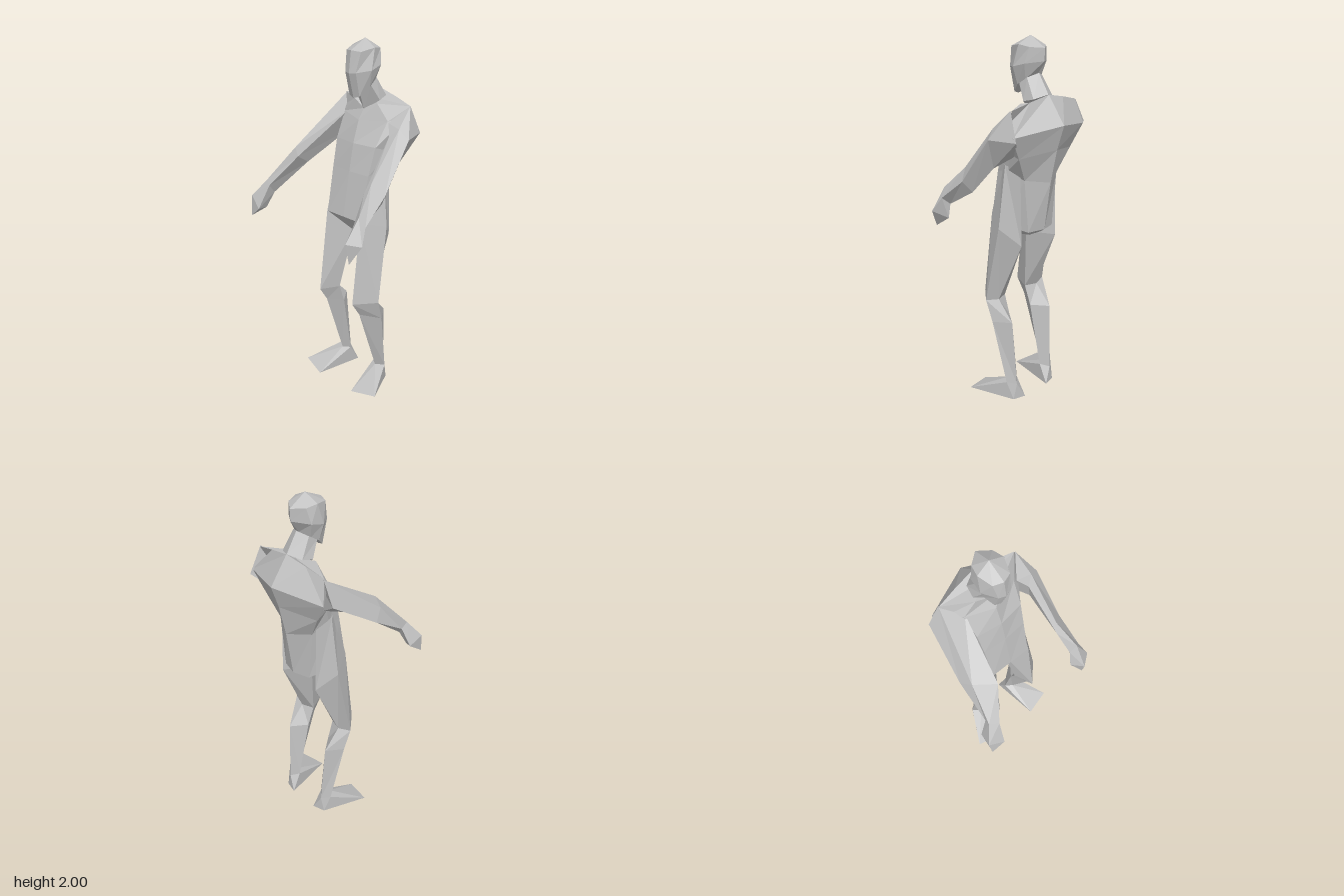
import * as THREE from 'three';

const CX = 0.02; // body centre line

// Faceted skin through cross-section rings (equal point counts), closed at both ends
function loft(rings) {
  const tris = [];
  const n = rings[0].length;
  for (let r = 0; r < rings.length - 1; r++) {
    for (let i = 0; i < n; i++) {
      const j = (i + 1) % n;
      const [a, b, c, d] = [rings[r][i], rings[r][j], rings[r + 1][j], rings[r + 1][i]];
      tris.push([a, b, c], [a, c, d]);
    }
  }
  const centre = (ring) => [0, 1, 2].map((k) => ring.reduce((s, p) => s + p[k], 0) / n);
  const first = rings[0], last = rings[rings.length - 1];
  const c0 = centre(first), c1 = centre(last);
  for (let i = 0; i < n; i++) {
    const j = (i + 1) % n;
    tris.push([first[j], first[i], c0], [last[i], last[j], c1]);
  }
  // Signed volume decides the winding, so mirrored parts stay outward-facing
  let volume = 0;
  for (const [a, b, c] of tris) {
    volume += new THREE.Vector3(...a).dot(new THREE.Vector3(...b).cross(new THREE.Vector3(...c)));
  }
  const points = tris.flatMap(([a, b, c]) => (volume < 0 ? [a, c, b] : [a, b, c])).flat();
  const geometry = new THREE.BufferGeometry();
  geometry.setAttribute('position', new THREE.Float32BufferAttribute(points, 3));
  geometry.computeVertexNormals();
  return geometry;
}

// Half ring (front centre ... back centre) completed by mirroring
const place = (side) => ([x, y, z]) => [CX + side * x, y, z];
const fullRing = (half) => [...half.map(place(1)), ...half.slice(1, -1).reverse().map(place(-1))];
const point = (p, n) => Array(n).fill(p);

// Rows: front centre, front corner, side, back corner, spine
const TORSO = [
  [[0, 0.945, -0.07], [0.025, 0.945, -0.07], [0.05, 0.96, -0.12], [0.05, 0.97, -0.18], [0, 0.99, -0.22]],
  [[0, 1.06, 0.03], [0.12, 1.06, 0.03], [0.15, 1.03, -0.08], [0.09, 1.0, -0.21], [0, 1.005, -0.24]],
  [[0, 1.31, -0.015], [0.13, 1.31, -0.025], [0.15, 1.33, -0.12], [0.12, 1.29, -0.21], [0, 1.27, -0.28]],
  [[0, 1.46, -0.045], [0.14, 1.46, -0.065], [0.165, 1.43, -0.15], [0.19, 1.42, -0.24], [0, 1.45, -0.32]],
  [[0, 1.58, -0.085], [0.155, 1.59, -0.14], [0.22, 1.6, -0.2], [0.26, 1.54, -0.265], [0, 1.58, -0.364]],
  [[0, 1.635, -0.125], [0.08, 1.67, -0.14], [0.23, 1.667, -0.23], [0.12, 1.695, -0.245], [0, 1.72, -0.258]],
];

const NECK = [
  [[0, 1.625, -0.125], [0.08, 1.685, -0.16], [0.07, 1.7, -0.22], [0, 1.72, -0.256]],
  [[0, 1.73, -0.09], [0.06, 1.77, -0.11], [0.055, 1.8, -0.16], [0, 1.82, -0.19]],
];

const HEAD = [
  [[0, 1.703, -0.045], [0.035, 1.715, -0.052], [0.062, 1.76, -0.1], [0.055, 1.79, -0.15], [0, 1.81, -0.175]],
  [[0, 1.835, -0.01], [0.037, 1.84, -0.022], [0.085, 1.85, -0.09], [0.08, 1.87, -0.165], [0, 1.88, -0.226]],
  [[0, 1.95, -0.025], [0.05, 1.945, -0.045], [0.075, 1.96, -0.12], [0.06, 1.95, -0.18], [0, 1.945, -0.228]],
  point([0, 2, -0.13], 5),
];

// Rows: front, outer, back, inner
const LEG = [
  [[0.12, 1.36, -0.05], [0.16, 1.36, -0.11], [0.13, 1.35, -0.19], [0.08, 1.3, -0.1]],
  [[0.125, 1.06, 0.03], [0.2, 1.02, -0.1], [0.13, 0.93, -0.2], [0.025, 0.945, -0.08]],
  [[0.128, 0.585, 0.09], [0.223, 0.59, -0.02], [0.15, 0.58, -0.045], [0.08, 0.58, -0.02]],
  [[0.13, 0.5, 0.035], [0.214, 0.47, -0.06], [0.15, 0.47, -0.15], [0.083, 0.47, -0.06]],
  [[0.135, 0.105, -0.1], [0.18, 0.105, -0.135], [0.135, 0.09, -0.172], [0.095, 0.105, -0.13]],
];
const FOOT = [
  LEG[4],
  [[0.13, 0.012, 0.1], [0.28, 0.03, 0.06], [0.16, 0, -0.17], [0.088, 0, -0.19]],
];

// Rows: top, outer, bottom, inner; the arms hang in different poses
const RIGHT_ARM = [
  [[-0.21, 1.665, -0.235], [-0.277, 1.54, -0.24], [-0.17, 1.46, -0.2], [-0.12, 1.595, -0.155]],
  [[-0.284, 1.4, 0.095], [-0.315, 1.35, 0.035], [-0.2, 1.335, 0.08], [-0.18, 1.39, 0.17]],
  [[-0.322, 1.25, 0.27], [-0.318, 1.22, 0.235], [-0.29, 1.18, 0.25], [-0.275, 1.235, 0.295]],
];
const RIGHT_HAND = [
  RIGHT_ARM[2],
  [[-0.378, 1.16, 0.335], [-0.365, 1.12, 0.257], [-0.31, 1.1, 0.29], [-0.295, 1.11, 0.36]],
  point([-0.368, 1.05, 0.352], 4),
];
const LEFT_ARM = [
  [[0.253, 1.67, -0.225], [0.275, 1.52, -0.285], [0.18, 1.43, -0.2], [0.187, 1.585, -0.133]],
  [[0.27, 1.57, -0.12], [0.322, 1.52, -0.137], [0.26, 1.36, -0.11], [0.23, 1.53, -0.09]],
  [[0.275, 1.33, 0.09], [0.334, 1.27, 0.05], [0.29, 1.21, 0.02], [0.254, 1.28, 0.12]],
  [[0.315, 1.2, 0.22], [0.346, 1.15, 0.205], [0.3, 1.11, 0.19], [0.276, 1.15, 0.215]],
];
const LEFT_HAND = [
  LEFT_ARM[3],
  [[0.308, 1.08, 0.308], [0.374, 1.07, 0.257], [0.31, 1.03, 0.195], [0.262, 1.055, 0.247]],
  point([0.317, 0.966, 0.292], 4),
];

export function createModel() {
  const model = new THREE.Group();
  model.name = 'standingFigure';
  const grey = new THREE.MeshStandardMaterial({ color: 0xbfbfbf, flatShading: true });
  grey.name = 'plainGrey';

  const add = (name, rings) => {
    const mesh = new THREE.Mesh(loft(rings), grey);
    mesh.name = name;
    model.add(mesh);
  };

  // Trunk and head
  add('torso', TORSO.map(fullRing));
  add('neck', NECK.map(fullRing));
  add('head', HEAD.map(fullRing));

  // Legs and feet, mirrored
  for (const [prefix, side] of [['left', 1], ['right', -1]]) {
    add(prefix + 'Leg', LEG.map((ring) => ring.map(place(side))));
    add(prefix + 'Foot', FOOT.map((ring) => ring.map(place(side))));
  }

  // Arms and hands
  add('rightArm', RIGHT_ARM);
  add('rightHand', RIGHT_HAND);
  add('leftArm', LEFT_ARM);
  add('leftHand', LEFT_HAND);

  return model;
}
